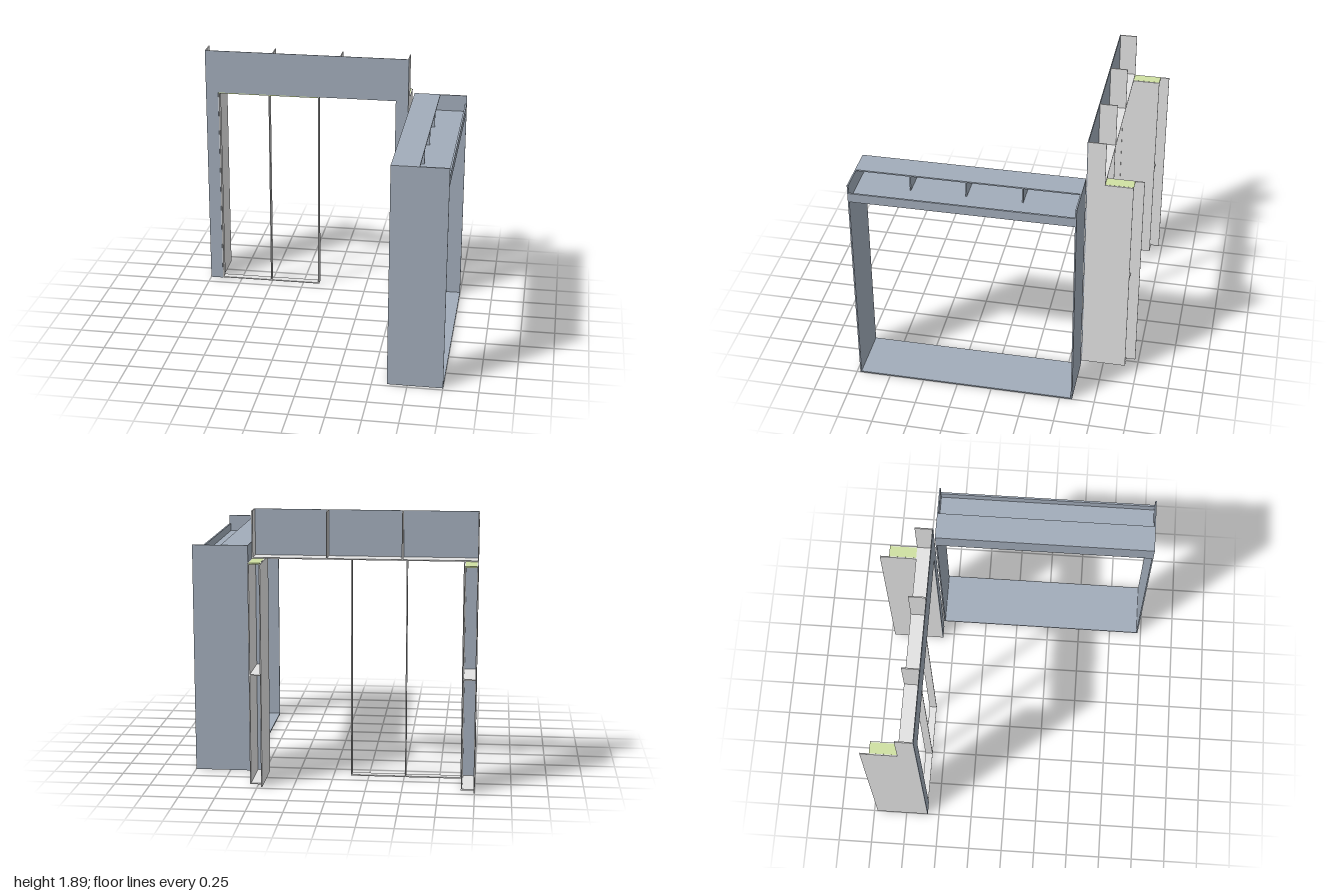
import * as THREE from 'three';

const steelBlue = new THREE.MeshStandardMaterial({ color: 0xa1acba });
steelBlue.name = 'steelBlue';
const lightGrey = new THREE.MeshStandardMaterial({ color: 0xe3e3e3 });
lightGrey.name = 'lightGrey';
const paleGreen = new THREE.MeshStandardMaterial({ color: 0xcfe0a2 });
paleGreen.name = 'paleGreen';

const T = 0.008; // sheet thickness

// Box given by its extents along each axis
function plate(parent, name, material, [x0, x1], [y0, y1], [z0, z1]) {
  const mesh = new THREE.Mesh(new THREE.BoxGeometry(x1 - x0, y1 - y0, z1 - z0), material);
  mesh.position.set((x0 + x1) / 2, (y0 + y1) / 2, (z0 + z1) / 2);
  mesh.name = name;
  parent.add(mesh);
}

function group(parent, name) {
  const g = new THREE.Group();
  g.name = name;
  parent.add(g);
  return g;
}

// Front sheet with a doorway cut from its lower edge
function portalFace(parent) {
  const s = new THREE.Shape();
  [[-1, 0], [-0.905, 0], [-0.905, 1.56], [0.465, 1.56], [0.465, 0], [0.56, 0], [0.56, 1.89], [-1, 1.89]]
    .forEach(([x, y], i) => (i ? s.lineTo(x, y) : s.moveTo(x, y)));
  const mesh = new THREE.Mesh(new THREE.ExtrudeGeometry(s, { depth: 0.006, bevelEnabled: false }), steelBlue);
  mesh.position.z = -0.592;
  mesh.name = 'portalFace';
  parent.add(mesh);
}

// Open-backed post: long right cheek, shorter left cheek, foot, stiffener and cap
function post(parent, name, x0, x1) {
  const g = group(parent, name);
  const inside = [x0 + T, x1 - T];
  plate(g, 'longCheek', lightGrey, [x0, x0 + T], [0, 1.56], [-0.975, -0.592]);
  plate(g, 'shortCheek', lightGrey, [x1 - T, x1], [0, 1.56], [-0.91, -0.592]);
  plate(g, 'foot', lightGrey, inside, [0, T], [-0.91, -0.592]);
  plate(g, 'stiffener', lightGrey, inside, [0.776, 0.784], [-0.91, -0.592]);
  plate(g, 'postCap', paleGreen, inside, [1.552, 1.561], [-0.91, -0.715]);
}

export function createModel() {
  const model = new THREE.Group();
  model.name = 'doorSurrounds';

  // Wide portal
  const portal = group(model, 'portal');
  portalFace(portal);
  post(portal, 'rightPost', -1, -0.905);
  post(portal, 'leftPost', 0.465, 0.56);
  plate(portal, 'headerShelf', lightGrey, [-1, 0.56], [1.56, 1.568], [-0.715, -0.592]);
  for (const x of [-1, -0.482, 0.038, 0.552]) {
    plate(portal, 'headerRib', lightGrey, [x, x + T], [1.568, 1.89], [-0.715, -0.592]);
  }

  // Slim door frame standing in the portal
  const frame = group(model, 'doorFrame');
  const depth = [-0.645, -0.59];
  for (const x of [-0.905, -0.513, -0.13]) {
    plate(frame, 'stile', lightGrey, [x, x + T], [T, 1.552], depth);
  }
  plate(frame, 'bottomRail', lightGrey, [-0.905, -0.122], [0, T], depth);
  plate(frame, 'topRail', paleGreen, [-0.905, -0.122], [1.552, 1.56], depth);

  // Deep rectangular lining
  const lining = group(model, 'lining');
  const W = [0.607, 1];
  const L = [-0.58, 0.965];
  plate(lining, 'backJamb', steelBlue, W, [0, 1.63], [-0.59, -0.58]);
  plate(lining, 'frontJamb', steelBlue, W, [0, 1.63], [0.965, 0.975]);
  plate(lining, 'sill', steelBlue, W, [0, 0.01], L);

  // Channel-shaped header across the lining
  plate(lining, 'headerFloor', steelBlue, W, [1.498, 1.508], L);
  plate(lining, 'headerWeb', steelBlue, [0.607, 0.617], [1.508, 1.62], L);
  plate(lining, 'headerTop', steelBlue, [0.607, 0.8], [1.62, 1.63], L);
  plate(lining, 'headerLip', steelBlue, [0.987, 1], [1.508, 1.565], L);
  for (const z of [-0.19, 0.2, 0.59]) {
    plate(lining, 'headerRib', steelBlue, [0.617, 0.798], [1.508, 1.62], [z - T / 2, z + T / 2]);
  }
  return model;
}
